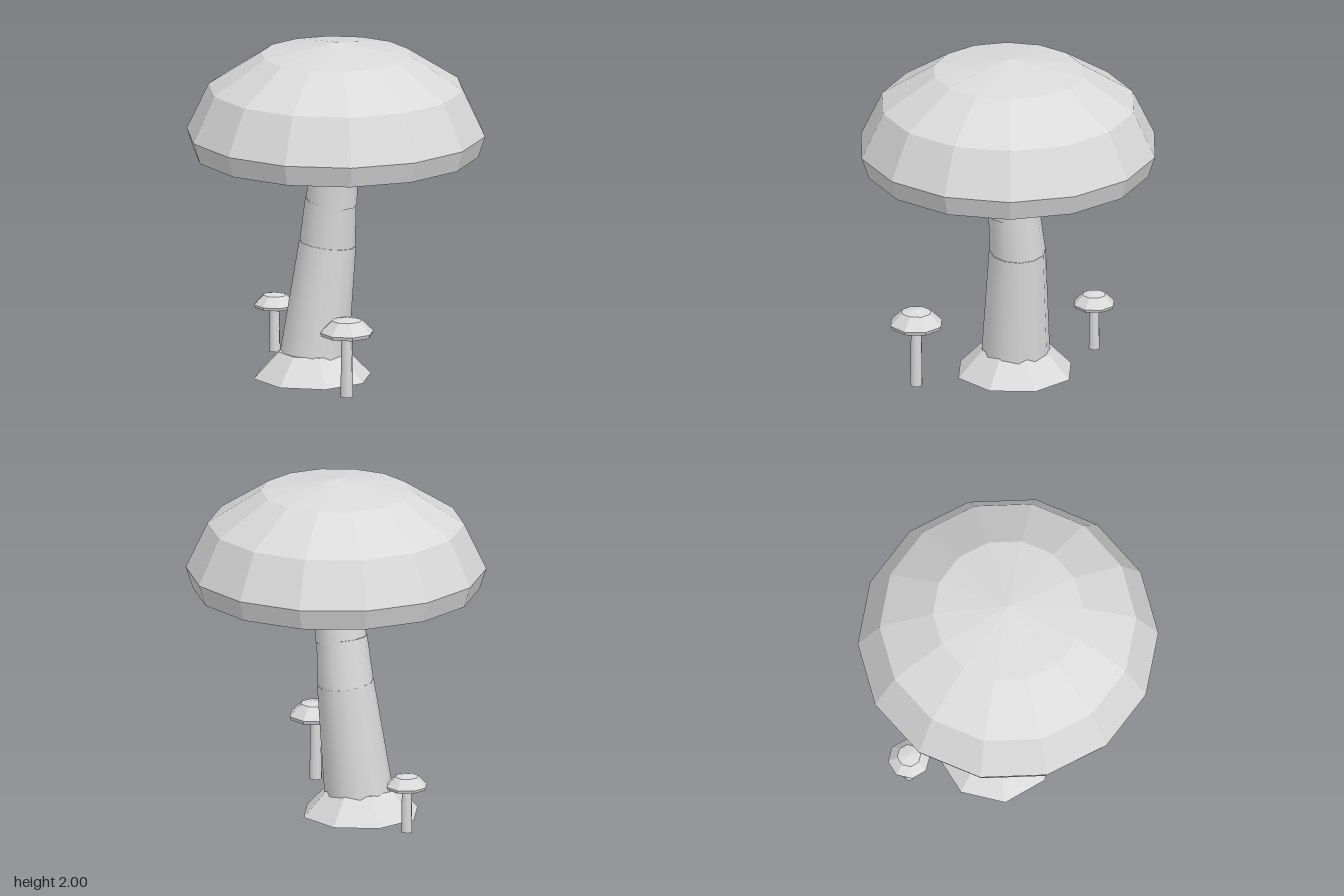
import * as THREE from 'three';

const grey = new THREE.MeshStandardMaterial({ color: 0xdadada });
grey.name = 'pale grey';
const flatGrey = new THREE.MeshStandardMaterial({ color: 0xdadada, flatShading: true });
flatGrey.name = 'pale grey faceted';

// Tapered smooth cylinder between two points, ends square to its axis
function limb(name, from, to, r0, r1, sides) {
  const a = new THREE.Vector3(...from);
  const b = new THREE.Vector3(...to);
  const dir = b.clone().sub(a);
  const mesh = new THREE.Mesh(new THREE.CylinderGeometry(r1, r0, dir.length(), sides), grey);
  mesh.position.copy(a).add(b).multiplyScalar(0.5);
  mesh.quaternion.setFromUnitVectors(new THREE.Vector3(0, 1, 0), dir.normalize());
  mesh.name = name;
  return mesh;
}

// Faceted cap from a radius/height profile, starting at the middle of its hollow underside
function cap(name, profile, sides) {
  const points = profile.map(([r, y]) => new THREE.Vector2(r, y));
  const mesh = new THREE.Mesh(new THREE.LatheGeometry(points, sides, Math.PI / 2), flatGrey);
  mesh.name = name;
  return mesh;
}

// Small upright mushroom standing at x, z
function smallMushroom(name, x, z, radius, capBase, capHeight, stemRadius) {
  const group = new THREE.Group();
  group.name = name;
  const top = cap('smallCap', [
    [0, 0.14], [0.95, 0], [1, 0.2], [0.56, 0.84], [0, 1],
  ].map(([r, y]) => [r * radius, y * capHeight]), 8);
  top.position.y = capBase;
  group.add(top, limb('smallStem', [0, 0.05, 0], [0, capBase + 0.02, 0], stemRadius, stemRadius * 0.86, 8));
  group.position.set(x, 0, z);
  return group;
}

export function createModel() {
  const model = new THREE.Group();
  model.name = 'mushrooms';

  // Big cap with a shallow hollow below
  model.add(cap('bigCap', [
    [0, 1.445], [0.818, 1.348], [0.858, 1.47], [0.732, 1.735], [0.429, 1.93], [0, 2],
  ], 14));

  // Leaning stem in three slightly overlapping sections
  model.add(
    limb('lowerStem', [-0.149, 0.025, 0.023], [-0.073, 0.805, -0.025], 0.202, 0.163, 12),
    limb('middleStem', [-0.077, 0.78, -0.026], [-0.045, 1.07, -0.015], 0.161, 0.146, 12),
    limb('upperStem', [-0.041, 1.05, -0.015], [0.002, 1.45, 0], 0.147, 0.129, 12),
  );

  // Flared skirt around the foot
  const skirt = new THREE.Mesh(new THREE.CylinderGeometry(0.197, 0.342, 0.15, 8), flatGrey);
  skirt.position.set(-0.145, 0.1, 0.025);
  skirt.name = 'footSkirt';
  model.add(skirt);

  // Two small mushrooms
  model.add(
    smallMushroom('leftSmallMushroom', 0.342, 0.418, 0.156, 0.41, 0.106, 0.037),
    smallMushroom('rightSmallMushroom', -0.588, -0.268, 0.121, 0.31, 0.085, 0.033),
  );
  return model;
}
